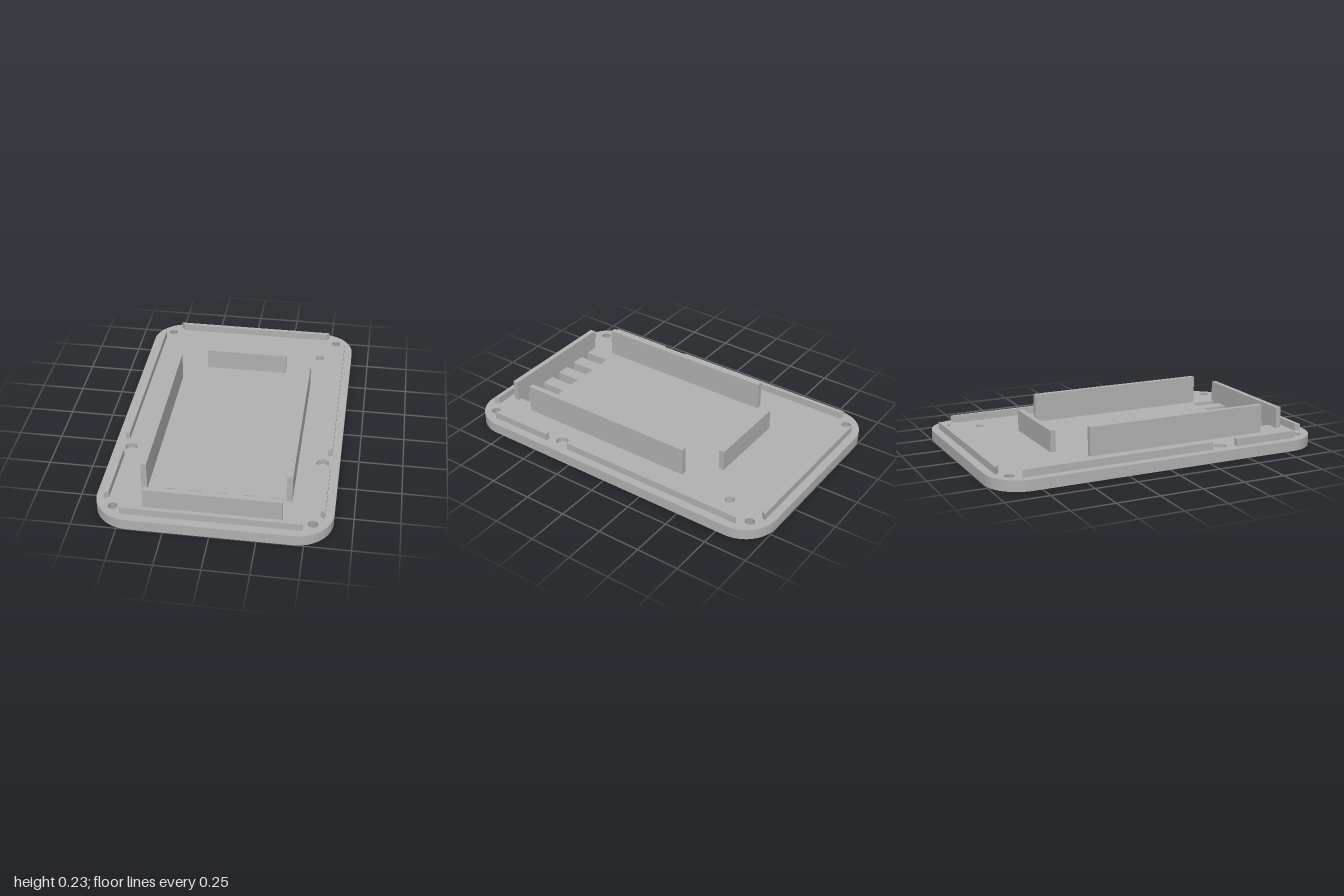
import * as THREE from 'three';
import { mergeGeometries, toCreasedNormals } from 'three/addons/utils/BufferGeometryUtils.js';

const T = 0.063; // plate thickness
const RAIL_TOP = 0.105;

// Outlines are drawn in (x, -z); all run counter-clockwise.
function circle(x, z, r, n = 32) {
  return Array.from({ length: n }, (_, i) => {
    const a = (i / n) * Math.PI * 2;
    return new THREE.Vector2(x + r * Math.cos(a), -z + r * Math.sin(a));
  });
}

function rect(x0, x1, z0, z1) {
  return [[x0, -z1], [x1, -z1], [x1, -z0], [x0, -z0]].map(p => new THREE.Vector2(...p));
}

function roundedRect(w, d, r, n = 12) {
  const pts = [];
  [[1, 1], [-1, 1], [-1, -1], [1, -1]].forEach(([sx, sy], q) => {
    for (let i = 0; i <= n; i++) {
      const a = (q + i / n) * Math.PI / 2;
      pts.push(new THREE.Vector2(sx * (w - r) + r * Math.cos(a), sy * (d - r) + r * Math.sin(a)));
    }
  });
  return pts;
}

// Band between a lower and an upper outline; inward for hole walls
function band(low, y0, high, y1, inward = false) {
  const pos = [];
  low.forEach((_, i) => {
    let a = i, b = (i + 1) % low.length;
    if (inward) [a, b] = [b, a];
    const a0 = [low[a].x, y0, -low[a].y], b0 = [low[b].x, y0, -low[b].y];
    const a1 = [high[a].x, y1, -high[a].y], b1 = [high[b].x, y1, -high[b].y];
    pos.push(...a0, ...b0, ...b1, ...a0, ...b1, ...a1);
  });
  const g = new THREE.BufferGeometry();
  g.setAttribute('position', new THREE.Float32BufferAttribute(pos, 3));
  return toCreasedNormals(g, 0.6);
}

// Flat face with holes, facing up or down
function cap(outline, holes, y, down = false) {
  const shape = new THREE.Shape(outline);
  holes.forEach(h => shape.holes.push(new THREE.Path(h)));
  const g = new THREE.ShapeGeometry(shape);
  g.rotateX(-Math.PI / 2).translate(0, y, 0);
  if (down) g.index.array.reverse();
  g.computeVertexNormals();
  const flat = g.toNonIndexed();
  flat.deleteAttribute('uv');
  return flat;
}

function plateGeometry() {
  const outline = roundedRect(0.645, 1, 0.2);
  const through = [circle(0.445, -0.71, 0.028)];
  for (let i = 0; i < 5; i++) {
    const x = -0.297 + i * 0.1458;
    through.push(rect(x, x + 0.066, 0.706, 0.859));
  }
  const corners = [];
  for (const x of [-0.538, 0.538]) for (const z of [-0.893, 0.893]) corners.push([x, z]);
  const screwTop = corners.map(([x, z]) => circle(x, z, 0.027));
  const screwBottom = corners.map(([x, z]) => circle(x, z, 0.04));
  const dimples = [-0.55, 0.55].map(x => circle(x, 0.372, 0.035));
  const floor = 0.033;
  return mergeGeometries([
    cap(outline, [...through, ...screwTop, ...dimples], T),
    cap(outline, [...through, ...screwBottom], 0, true),
    band(outline, 0, outline, T),
    ...through.map(h => band(h, 0, h, T, true)),
    ...screwTop.map((h, i) => band(screwBottom[i], 0, h, T, true)),
    ...dimples.map(h => band(h, floor, h, T, true)),
    ...dimples.map(h => cap(h, [], floor)),
  ]);
}

export function createModel() {
  const model = new THREE.Group();
  const grey = new THREE.MeshStandardMaterial({ color: 0xb0b0b0 });
  grey.name = 'grey';

  const add = (name, geometry) => {
    const mesh = new THREE.Mesh(geometry, grey);
    mesh.name = name;
    model.add(mesh);
  };

  const wall = (name, x0, x1, z0, z1, top) => {
    const g = new THREE.BoxGeometry(x1 - x0, top - T, z1 - z0);
    add(name, g.translate((x0 + x1) / 2, (top + T) / 2, (z0 + z1) / 2));
  };

  // Low rail with mitred ends, from its corners in (x, z)
  const rail = (name, corners) => {
    const shape = new THREE.Shape(corners.map(([x, z]) => new THREE.Vector2(x, -z)));
    const g = new THREE.ExtrudeGeometry(shape, { depth: RAIL_TOP - T, bevelEnabled: false });
    add(name, g.rotateX(-Math.PI / 2).translate(0, T, 0));
  };

  add('basePlate', plateGeometry());

  // Battery bay walls
  wall('rightBayWall', -0.415, -0.383, -0.375, 0.727, 0.23);
  wall('leftBayWall', 0.381, 0.413, -0.375, 0.727, 0.23);
  wall('backBayWall', -0.247, 0.247, -0.54, -0.508, 0.187);
  wall('frontBayWall', -0.375, 0.375, 0.859, 0.89, 0.187);

  // Locating rails around the rim
  for (const s of [-1, 1]) {
    const side = s > 0 ? 'left' : 'right';
    rail(side + 'BackRail', [[s * 0.597, -0.843], [s * 0.573, -0.827], [s * 0.573, 0.298], [s * 0.597, 0.298]]);
    rail(side + 'FrontRail', [[s * 0.597, 0.45], [s * 0.573, 0.45], [s * 0.573, 0.827], [s * 0.597, 0.843]]);
    rail(s > 0 ? 'frontRail' : 'backRail',
      [[-0.49, s * 0.952], [0.49, s * 0.952], [0.47, s * 0.928], [-0.47, s * 0.928]]);
  }
  return model;
}
